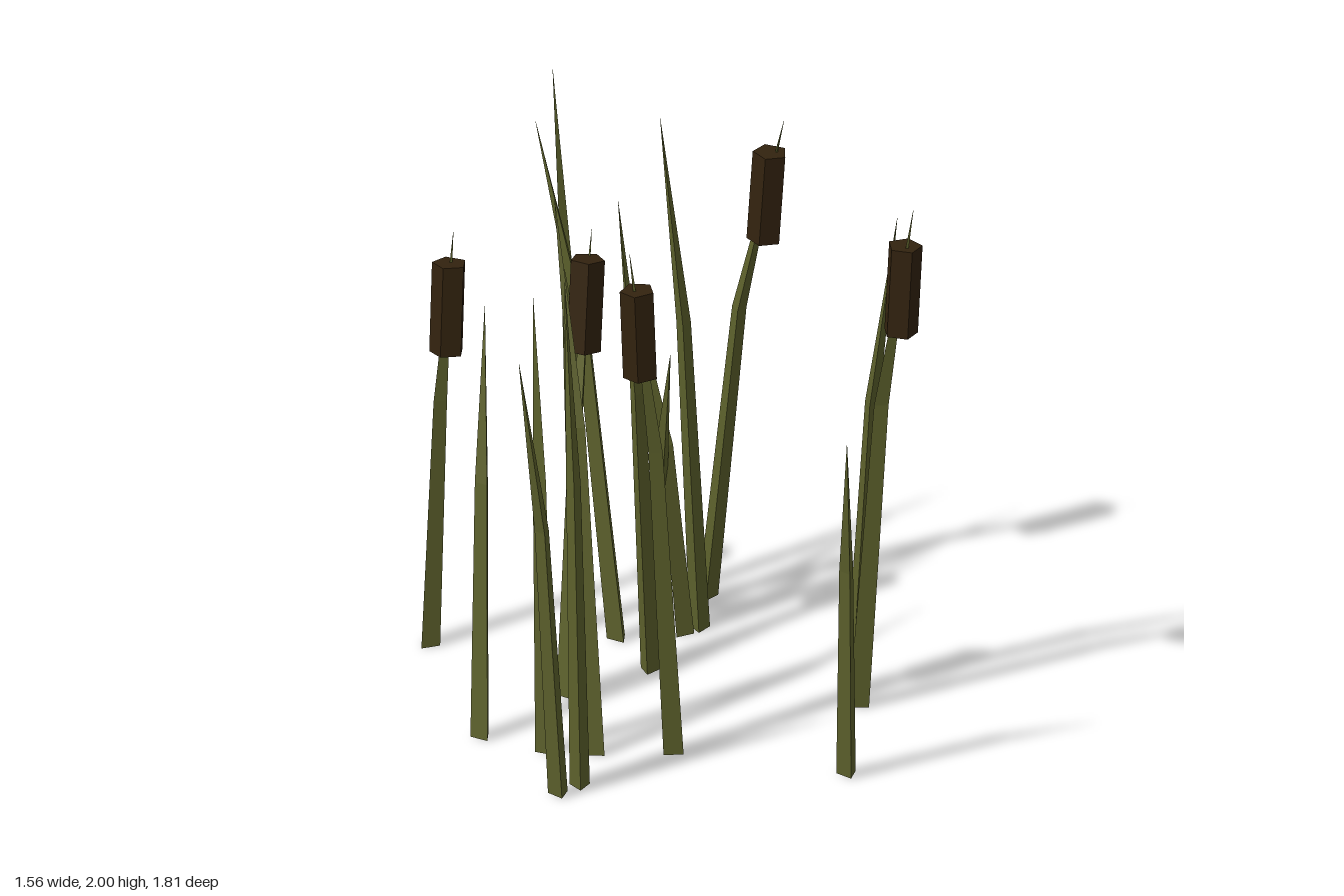
import * as THREE from 'three';

const rad = THREE.MathUtils.degToRad;

// base x, base z, tip x, tip y, tip z, heading of one corner (degrees from +x towards +z)
const BLADES = [
  [0.598, -0.024, 0.71, 1.82, 0.21, 110],
  [-0.234, -0.69, -0.30, 2.0, -0.79, -106],
  [-0.11, -0.58, -0.37, 1.85, -0.71, -168],
  [0.039, -0.713, 0.05, 1.07, -0.48, 86],
  [0.108, -0.59, -0.013, 1.11, -0.76, -111],
  [0.171, -0.624, 0.045, 1.85, -0.67, -138],
  [-0.048, -0.301, -0.13, 1.65, -0.46, -130],
  [-0.687, 0.166, -0.655, 1.51, 0.02, -48],
  [-0.506, 0.68, -0.67, 1.66, 0.86, 85],
  [-0.492, 0.32, -0.535, 1.65, 0.30, 184],
  [-0.335, 0.359, -0.432, 1.92, 0.10, -76],
  [-0.427, 0.624, -0.467, 1.81, 0.545, -144],
  [0.472, 0.663, 0.433, 1.31, 0.90, 82],
];

// stem as above, then head bottom and top centres and heading of one head corner
const CATTAILS = [
  { stem: [-0.745, -0.625, -0.65, 1.47, -0.70, 17], from: [-0.675, 1.047, -0.672], to: [-0.664, 1.365, -0.684], turn: -95 },
  { stem: [0.238, -0.885, 0.465, 1.81, -0.68, -14], from: [0.405, 1.367, -0.72], to: [0.423, 1.69, -0.70], turn: -100 },
  { stem: [-0.35, -0.135, -0.235, 1.60, -0.357, -45], from: [-0.275, 1.195, -0.283], to: [-0.257, 1.515, -0.307], turn: 95 },
  { stem: [-0.077, 0.393, -0.238, 1.87, 0.485, 152], from: [-0.196, 1.413, 0.462], to: [-0.209, 1.73, 0.47], turn: 180 },
  { stem: [0.597, 0.096, 0.745, 1.90, 0.335, 36], from: [0.709, 1.433, 0.278], to: [0.723, 1.753, 0.29], turn: 2 },
];

function flat(geometry) {
  const g = geometry.toNonIndexed();
  g.computeVertexNormals();
  return g;
}

// Three-sided reed with one bend, tapering to a point
function reedGeometry([bx, bz, tx, ty, tz, heading]) {
  const base = new THREE.Vector3(bx, 0.005, bz);
  const tip = new THREE.Vector3(tx, ty, tz);
  const knee = base.clone().lerp(tip, 0.41).setY(ty * 0.6);
  const centres = [base, knee, tip];
  const radii = [0.039, 0.028, 0.0006];
  const g = new THREE.CylinderGeometry(1, 1, 2, 3, 2);
  g.rotateY(rad(90 - heading));
  const p = g.attributes.position;
  for (let i = 0; i < p.count; i++) {
    const level = Math.round(p.getY(i) + 1);
    const c = centres[level], r = radii[level];
    p.setXYZ(i, c.x + p.getX(i) * r, c.y, c.z + p.getZ(i) * r);
  }
  return flat(g);
}

// Five-sided seed head along a short axis
function headMesh({ from, to, turn }, material) {
  const a = new THREE.Vector3(...from), b = new THREE.Vector3(...to);
  const axis = b.clone().sub(a);
  const g = new THREE.CylinderGeometry(0.06, 0.06, axis.length(), 5);
  g.rotateY(rad(90 - turn));
  const mesh = new THREE.Mesh(flat(g), material);
  mesh.position.copy(a).lerp(b, 0.5);
  mesh.quaternion.setFromUnitVectors(new THREE.Vector3(0, 1, 0), axis.normalize());
  mesh.name = 'seedHead';
  return mesh;
}

export function createModel() {
  const green = new THREE.MeshStandardMaterial({ color: 0x5d612c });
  green.name = 'reedGreen';
  const brown = new THREE.MeshStandardMaterial({ color: 0x33230f });
  brown.name = 'headBrown';

  const model = new THREE.Group();
  model.name = 'reeds';

  // Plain blades
  for (const blade of BLADES) {
    const mesh = new THREE.Mesh(reedGeometry(blade), green);
    mesh.name = 'blade';
    model.add(mesh);
  }

  // Stems carrying seed heads
  for (const cattail of CATTAILS) {
    const group = new THREE.Group();
    group.name = 'cattail';
    const stem = new THREE.Mesh(reedGeometry(cattail.stem), green);
    stem.name = 'stem';
    group.add(stem, headMesh(cattail, brown));
    model.add(group);
  }
  return model;
}
